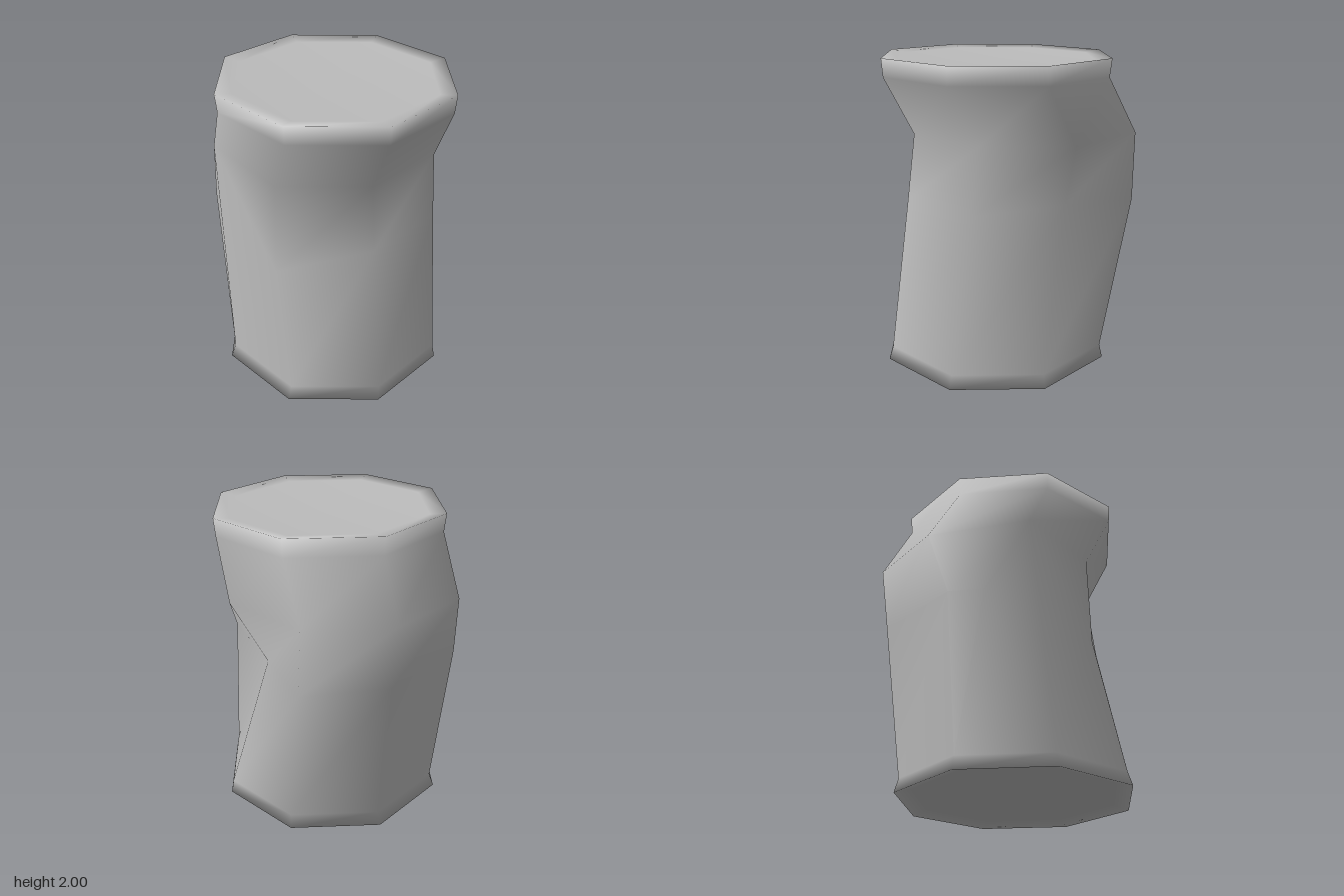
import * as THREE from 'three';

const SIDES = 8;
const WAIST = 3;  // index of the dented ring
const CREASE = 3; // corner where the wall folds across the waist

// Rings from the underside to the lid: height, centre x and z, radius
const RINGS = [
  { y: 0.04, x: 0, z: 0.08, r: 0.67 },      // recessed base
  { y: 0.01, x: 0, z: 0.08, r: 0.77 },      // bottom rim
  { y: 0.1, x: 0.008, z: 0.08, r: 0.745 },
  // dented waist: corner index -> [x, y, z]
  { y: 1.1, x: 0.01, z: -0.055, r: 0.742, dents: {
    0: [0.545, 1.1, -0.16],
    3: [-0.53, 0.92, 0.42],
    4: [-0.68, 1.1, -0.33],
    5: [-0.59, 1.1, -0.53],
    7: [0.545, 1.09, -0.645],
  } },
  // shoulder pushed to the back
  { y: 1.52, x: 0.012, z: -0.11, r: 0.743, dents: {
    4: [-0.735, 1.61, -0.05],
    5: [-0.52, 1.52, -0.65],
    7: [0.53, 1.52, -0.66],
  } },
  { y: 1.88, x: 0.015, z: 0.075, r: 0.743 },
  { y: 1.995, x: 0.015, z: 0.073, r: 0.754 }, // top rim
  { y: 1.98, x: 0.015, z: 0.073, r: 0.65 },   // sunken lid
];

function canGeometry() {
  const points = [], index = [];
  // Corners of every ring, with a slight tilt to the right
  for (const { y, x, z, r, dents = {} } of RINGS) {
    for (let i = 0; i < SIDES; i++) {
      const a = (i / SIDES) * Math.PI * 2;
      const dx = r * Math.cos(a);
      points.push(...(dents[i] ?? [x + dx, y - 0.008 * dx, z + r * Math.sin(a)]));
    }
  }
  const baseCentre = points.length / 3;
  points.push(0, 0.06, 0.08);
  const lidCentre = baseCentre + 1;
  points.push(0.015, 1.965, 0.05);

  // Walls between rings
  const last = RINGS.length - 1;
  for (let k = 0; k < last; k++) {
    for (let i = 0; i < SIDES; i++) {
      if (i === CREASE && (k === WAIST - 1 || k === WAIST)) continue;
      const j = (i + 1) % SIDES;
      const low = k * SIDES, up = low + SIDES;
      index.push(low + j, low + i, up + i, low + j, up + i, up + j);
    }
  }
  // Folded wall: a straight ridge runs past the waist between two dents
  const mid = WAIST * SIDES + CREASE, low = mid - SIDES, up = mid + SIDES;
  index.push(low + 1, low, mid, low + 1, mid, up + 1);
  index.push(low + 1, up + 1, mid + 1, mid, up, up + 1);

  // Fans closing both ends
  for (let i = 0; i < SIDES; i++) {
    const j = (i + 1) % SIDES;
    index.push(baseCentre, i, j);
    index.push(lidCentre, last * SIDES + j, last * SIDES + i);
  }

  const geometry = new THREE.BufferGeometry();
  geometry.setAttribute('position', new THREE.Float32BufferAttribute(points, 3));
  geometry.setIndex(index);
  geometry.computeVertexNormals();
  return geometry;
}

export function createModel() {
  const group = new THREE.Group();
  group.name = 'crushedCan';
  const metal = new THREE.MeshStandardMaterial({ color: 0xbcbcbc });
  metal.name = 'grey metal';
  const can = new THREE.Mesh(canGeometry(), metal);
  can.name = 'canBody';
  group.add(can);
  return group;
}
